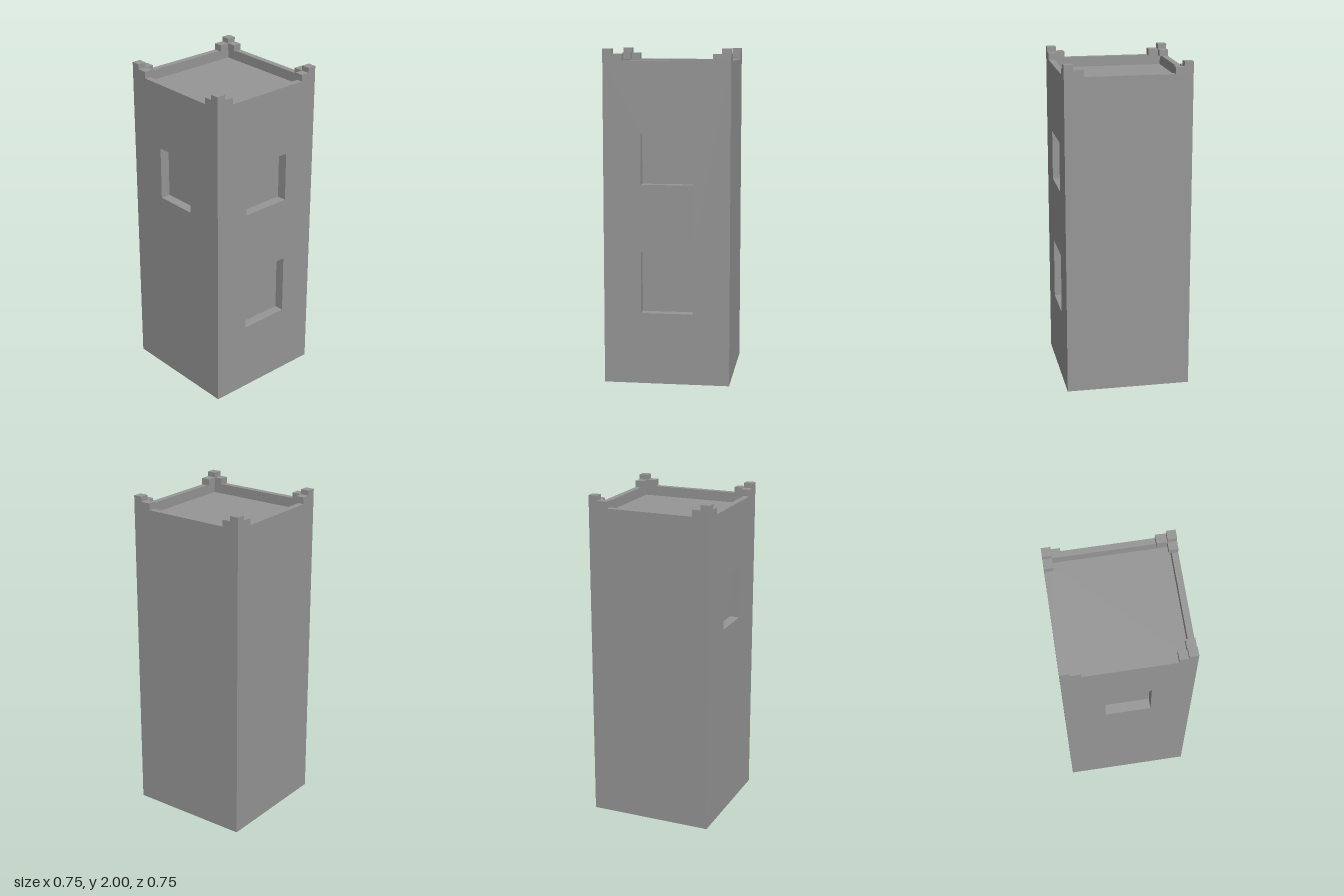
import * as THREE from 'three';

const HALF = 0.377;        // half the tower's width
const WALL_TOP = 1.93;     // top of the parapet
const material = new THREE.MeshStandardMaterial({ color: 0x969696, side: THREE.DoubleSide, flatShading: true });

function addMesh(parent, name, geometry, x = 0, y = 0, z = 0) {
  const mesh = new THREE.Mesh(geometry, material);
  mesh.name = name;
  mesh.position.set(x, y, z);
  parent.add(mesh);
  return mesh;
}

function traceRect(path, x0, y0, x1, y1) {
  path.moveTo(x0, y0);
  path.lineTo(x1, y0);
  path.lineTo(x1, y1);
  path.lineTo(x0, y1);
  path.closePath();
  return path;
}

// Box without its +z face, sunk behind z = 0
function recessGeometry(w, h, depth) {
  const geometry = new THREE.BoxGeometry(w, h, depth).translate(0, 0, -depth / 2);
  const index = Array.from(geometry.index.array);
  index.splice(24, 6);
  geometry.setIndex(index);
  geometry.clearGroups();
  return geometry;
}

// Thin panel facing +z, with rectangular recesses [x0, y0, x1, y1]
function createPanel(name, bounds, recesses, recessName, depth) {
  const panel = new THREE.Group();
  panel.name = name;
  const shape = traceRect(new THREE.Shape(), ...bounds);
  for (const [x0, y0, x1, y1] of recesses) {
    shape.holes.push(traceRect(new THREE.Path(), x0, y0, x1, y1));
    addMesh(panel, recessName, recessGeometry(x1 - x0, y1 - y0, depth), (x0 + x1) / 2, (y0 + y1) / 2);
  }
  addMesh(panel, name + 'Surface', new THREE.ShapeGeometry(shape));
  return panel;
}

// Stepped battlement for the +x +z corner
function createBattlement() {
  const battlement = new THREE.Group();
  battlement.name = 'cornerBattlement';
  const inner = 0.323;
  const block = (name, x0, x1, z0, z1, top) => addMesh(
    battlement, name,
    new THREE.BoxGeometry(x1 - x0, top - WALL_TOP, z1 - z0),
    (x0 + x1) / 2, (top + WALL_TOP) / 2, (z0 + z1) / 2
  );
  block('cornerBlock', inner, HALF, inner, HALF, 2);
  block('lowStepX', 0.271, inner, inner, HALF, 1.97);
  block('lowStepZ', inner, HALF, 0.262, inner, 1.97);
  return battlement;
}

export function createModel() {
  const tower = new THREE.Group();
  tower.name = 'tower';

  // Four walls, open at the bottom; windows on the front and right
  const walls = [
    ['frontWall', [[-0.135, 1.205, 0.133, 1.528]]],
    ['rightWall', [[-0.153, 1.205, 0.158, 1.507], [-0.153, 0.432, 0.158, 0.803]]],
    ['backWall', []],
    ['leftWall', []],
  ];
  walls.forEach(([name, windows], i) => {
    const angle = i * Math.PI / 2;
    const wall = createPanel(name, [-HALF, 0, HALF, WALL_TOP], windows, 'windowRecess', 0.06);
    wall.rotation.y = angle;
    wall.position.set(Math.sin(angle) * HALF, 0, Math.cos(angle) * HALF);
    tower.add(wall);

    const battlement = createBattlement();
    battlement.rotation.y = angle;
    tower.add(battlement);
  });

  // Parapet rim around the sunken roof
  const roof = createPanel('parapetRim', [-HALF, -HALF, HALF, HALF], [[-0.34, -0.34, 0.34, 0.34]], 'sunkenRoof', 0.06);
  roof.rotation.x = -Math.PI / 2;
  roof.position.y = WALL_TOP;
  tower.add(roof);

  return tower;
}
